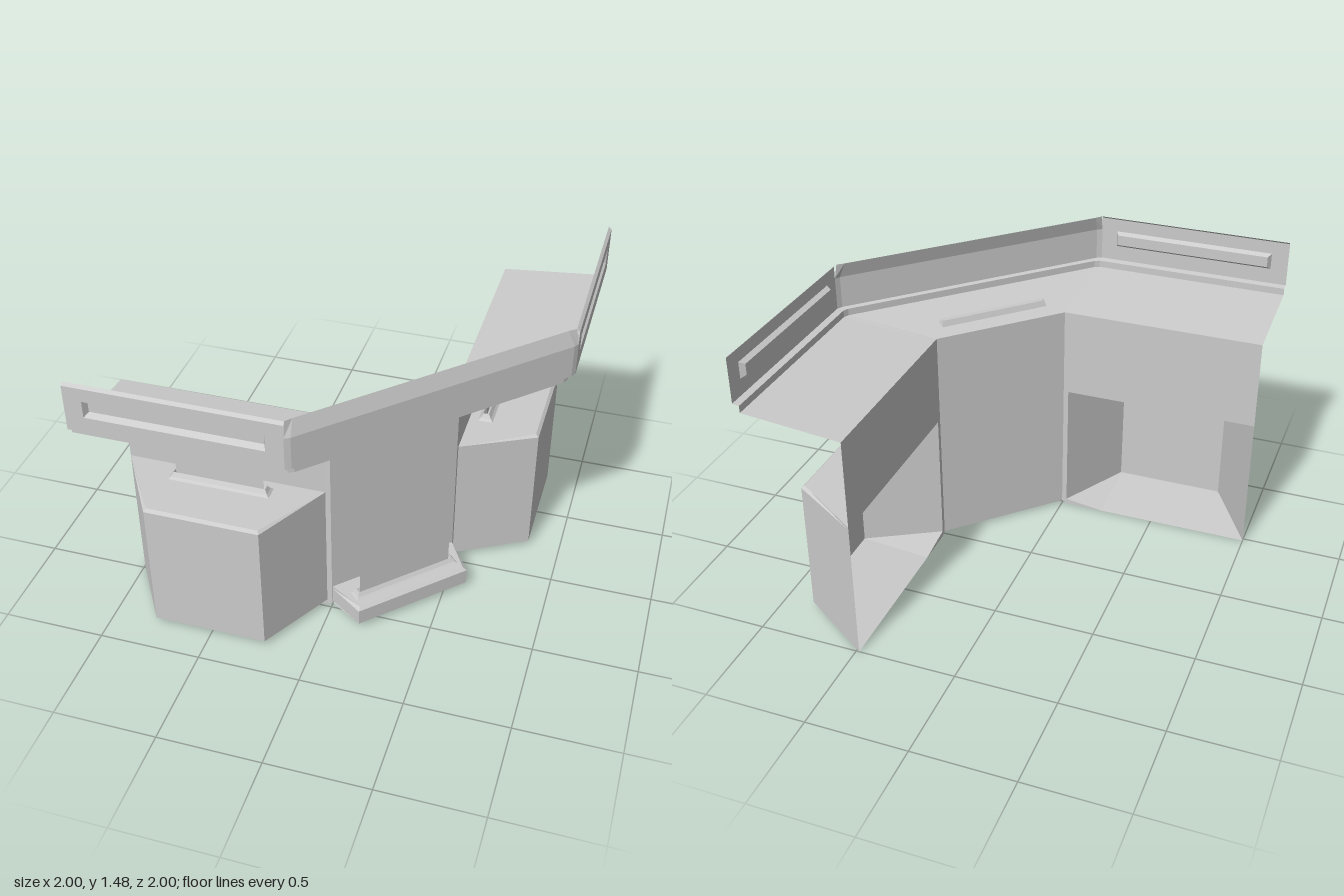
import * as THREE from 'three';

const material = new THREE.MeshStandardMaterial({ color: 0xcccccc, flatShading: true, side: THREE.DoubleSide });

// Plan frames: left wing, right wing (mirrored over the corner) and diagonal centre
const left = (a, y, b) => [a, y, b];
const right = (a, y, b) => [b, y, a];
const centre = (u, y, d) => [(d + u) * Math.SQRT1_2, y, (d - u) * Math.SQRT1_2];

// Sheet of quads spanning successive rings of points
function loft(name, rings, closed = false) {
  const pos = [];
  for (let i = 0; i < rings.length - 1; i++) {
    const p = rings[i], q = rings[i + 1], n = p.length;
    for (let j = 0; j < (closed ? n : n - 1); j++) {
      const k = (j + 1) % n;
      pos.push(...p[j], ...p[k], ...q[k], ...p[j], ...q[k], ...q[j]);
    }
  }
  const geo = new THREE.BufferGeometry();
  geo.setAttribute('position', new THREE.Float32BufferAttribute(pos, 3));
  geo.computeVertexNormals();
  const mesh = new THREE.Mesh(geo, material);
  mesh.name = name;
  return mesh;
}

const ring = (map, pts) => pts.map(p => map(...p));
// Horizontal rectangle as a ring, constant y
const flatRect = (map, a0, a1, b0, b1, y) =>
  ring(map, [[a0, y, b0], [a1, y, b0], [a1, y, b1], [a0, y, b1]]);

// Raised light trough with a double rim
function lightTrough(map, a0, a1, b, y) {
  const r = (grow, h) => flatRect(map, a0 - grow, a1 + grow, b - 0.008 - grow, b + 0.008 + grow, y + h);
  return loft('lightTrough', [r(0.03, 0), r(0.018, 0.012), r(0.006, 0.032), r(-0.002, 0.01),
    flatRect(map, a0, a1, b, b, y + 0.01)], true);
}

// Thin upright screen
const screen = (map, a0, a1, b, y0, y1) =>
  loft('screen', [[map(a0, y0, b), map(a1, y0, b)], [map(a0, y1, b), map(a1, y1, b)]]);

function wing(map, name) {
  const g = new THREE.Group();
  g.name = name;
  const W = 0.485, E = -0.025;

  // Upper back wall
  g.add(loft('backWall', [[map(-1, 0.7, W), map(E, 0.7, W)], [map(-1, 1.155, W), map(E, 1.155, W)]]));

  // Counter, open at the back
  const plan = (y, inset) => ring(map, [[-1, y, W], [-0.78 + inset / 2, y, 0.84 - inset],
    [-0.225 - inset / 2, y, 0.84 - inset], [E, y, W]]);
  const back = y => ring(map, [[-1, y, W], [-0.78, y, W], [-0.225, y, W], [E, y, W]]);
  g.add(loft('counter', [back(0), plan(0.03, 0), plan(0.7, 0), plan(0.713, 0.015), back(0.713)]));
  g.add(lightTrough(map, -0.73, -0.29, 0.565, 0.712));
  g.add(screen(map, -0.73, -0.295, 0.565, 0.725, 1.14));

  // Sloped soffit and lip
  const profile = [[1.155, W], [1.2, 0.967], [1.235, 0.967], [1.24, 1]];
  g.add(loft('soffit', [-1, E].map(a => profile.map(([y, b]) => map(a, y, b)))));

  // Fascia with recessed slot
  const face = (a0, a1, y0, y1, b) => ring(map, [[a0, y0, b], [a1, y0, b], [a1, y1, b], [a0, y1, b]]);
  g.add(loft('fascia', [
    ring(map, [[-1, 1.24, 1], [E, 1.24, 1], [E, 1.465, 1], [-1, 1.465, 1]]),
    face(-0.915, -0.105, 1.318, 1.4, 1),
    face(-0.9, -0.118, 1.335, 1.388, 0.975),
    face(-0.9, -0.118, 1.362, 1.362, 0.975),
  ], true));
  g.add(loft('fasciaTop', [[map(-1, 1.465, 1), map(E, 1.465, 1)], [map(-1, 1.477, 0.985), map(E, 1.477, 0.985)]]));

  // Joint strip closing the wing against the centre bay
  const wingEdge = [[0, W], ...profile, [1.4, 1], [1.477, 0.985]].map(([y, b]) => map(E, y, b));
  const s = map === left ? -1 : 1;
  const bayEdge = [[0.015, 0.343], [1.155, 0.343], [1.2, 0.675], [1.235, 0.675], [1.24, 0.697],
    [1.4, 0.697], [1.477, 0.675]].map(([y, d]) => centre(s * d, y, d));
  g.add(loft('joint', [wingEdge, bayEdge]));
  return g;
}

function centreBay() {
  const g = new THREE.Group();
  g.name = 'centreBay';
  const span = (y, d) => [centre(-d, y, d), centre(d, y, d)];

  // Back wall
  g.add(loft('backWall', [span(0.015, 0.343), span(1.155, 0.343)]));

  // Soffit with recessed slot for the screen
  const quad = (a, d0, y0, d1, y1) =>
    ring(centre, [[-a, y0, d0], [a, y0, d0], [a, y1, d1], [-a, y1, d1]]);
  g.add(loft('soffit', [
    [...span(1.155, 0.343), ...span(1.2, 0.675).reverse()],
    quad(0.28, 0.425, 1.166, 0.472, 1.172),
    quad(0.272, 0.435, 1.195, 0.462, 1.195),
    quad(0.272, 0.449, 1.18, 0.449, 1.18),
  ], true));

  // Lip and folded fascia
  g.add(loft('fascia', [span(1.2, 0.675), span(1.235, 0.675), span(1.24, 0.697),
    span(1.4, 0.697), span(1.477, 0.675)]));

  // Foot ledge with chamfered ends
  const plan = (y, inset) => ring(centre, [[-0.34, y, 0.345], [-0.304 + inset, y, 0.545 - inset],
    [0.304 - inset, y, 0.545 - inset], [0.34, y, 0.345]]);
  const back = y => ring(centre, [[-0.34, y, 0.345], [-0.3, y, 0.345], [0.3, y, 0.345], [0.34, y, 0.345]]);
  g.add(loft('footLedge', [plan(0.03, 0), plan(0.11, 0), plan(0.125, 0.015), back(0.125)]));

  // Ledge underside with slot
  g.add(loft('ledgeUnderside', [
    ring(centre, [[-0.34, 0.015, 0.345], [0.34, 0.015, 0.345], [0.304, 0.03, 0.545], [-0.304, 0.03, 0.545]]),
    quad(0.25, 0.43, 0.021, 0.47, 0.024),
    quad(0.24, 0.438, 0.05, 0.462, 0.05),
    quad(0.24, 0.45, 0.035, 0.45, 0.035),
  ], true));
  g.add(lightTrough(centre, -0.255, 0.255, 0.455, 0.122));
  g.add(screen(centre, -0.25, 0.25, 0.455, 0.135, 1.17));
  return g;
}

export function createModel() {
  const model = new THREE.Group();
  model.name = 'cornerCounter';
  model.add(wing(left, 'rightWing'), wing(right, 'leftWing'), centreBay());
  return model;
}
